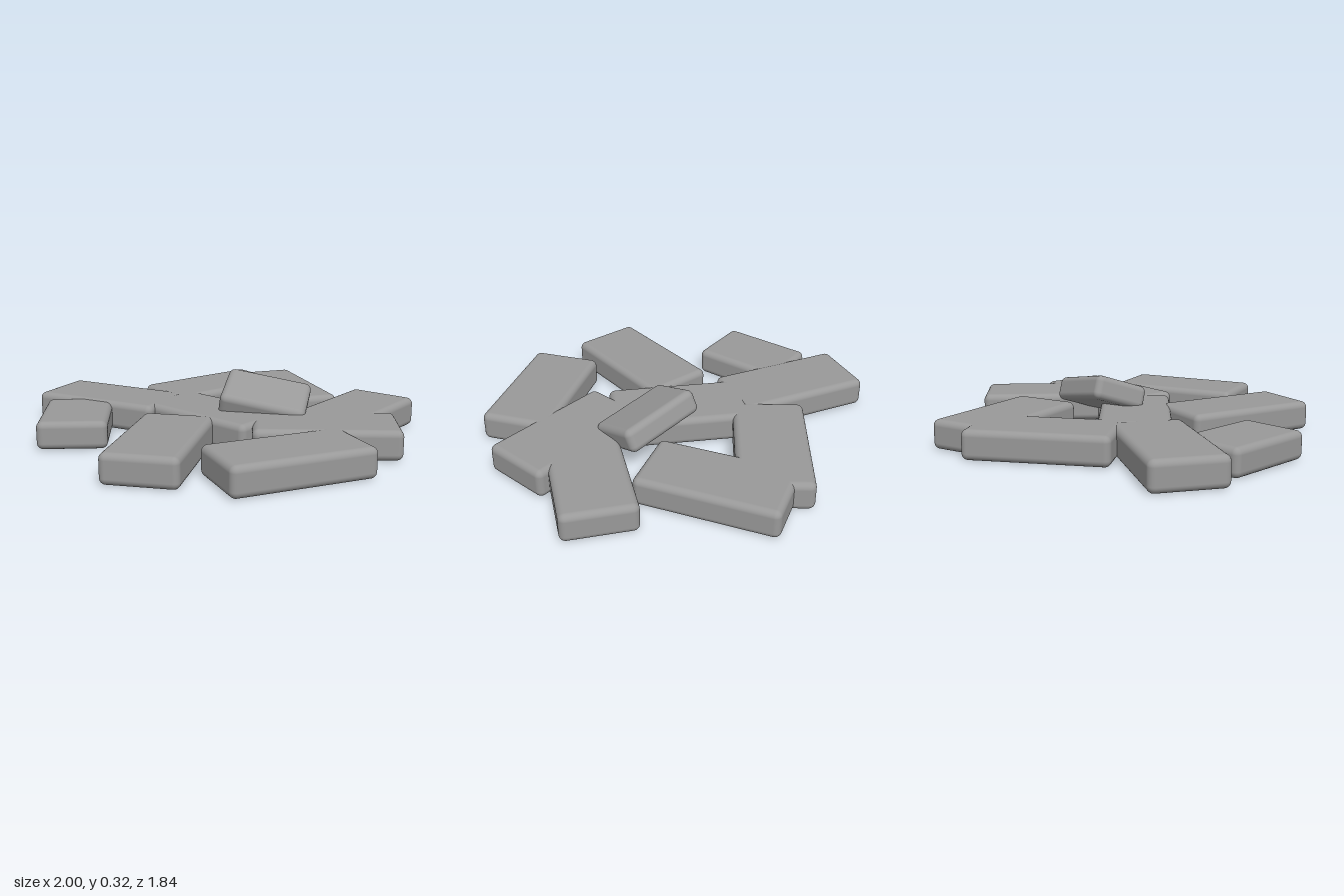
import * as THREE from 'three';
import { RoundedBoxGeometry } from 'three/addons/geometries/RoundedBoxGeometry.js';

const HEIGHT = 0.15;
const RADIUS = 0.033;

// Flat-lying bricks: centre x, centre z, heading in degrees (from +x towards +z), length, width
const BRICKS = [
  ['leftBrick', -0.475, -0.3, 90, 0.72, 0.37],
  ['backLeftBrick', -0.2, -0.58, 20, 0.72, 0.37],
  ['backRightBrick', 0.41, -0.525, 75.5, 0.72, 0.37],
  ['innerRightBrick', 0.54, -0.21, 130, 0.72, 0.37],
  ['rightBrick', 0.735, 0.205, 105, 0.72, 0.37],
  ['frontBrick', 0.22, 0.55, 50, 0.72, 0.37],
  ['middleBrick', -0.01, 0.055, -10, 0.71, 0.37],
  ['outerLeftBrick', -0.61, 0.31, -25, 0.72, 0.37],
  ['frontHalfBrick', -0.425, 0.635, 35, 0.5, 0.35, 0.142],
];

export function createModel() {
  const group = new THREE.Group();
  group.name = 'brickPile';
  const stone = new THREE.MeshStandardMaterial({ color: 0x999999 });
  stone.name = 'grey stone';

  const addBrick = (name, length, height, width) => {
    const mesh = new THREE.Mesh(new RoundedBoxGeometry(length, height, width, 4, RADIUS), stone);
    mesh.name = name;
    group.add(mesh);
    return mesh;
  };

  // Bricks lying on the ground
  for (const [name, x, z, heading, length, width, height = HEIGHT] of BRICKS) {
    const brick = addBrick(name, length, height, width);
    brick.position.set(x, height / 2, z);
    brick.rotation.y = -THREE.MathUtils.degToRad(heading);
  }

  // Broken piece leaning on top of the pile
  const top = addBrick('tiltedTopPiece', 0.44, 0.125, 0.3);
  const along = new THREE.Vector3(0.29, -0.07, -0.27).normalize();
  const across = new THREE.Vector3(0.16, -0.085, 0.2);
  const up = across.clone().cross(along).normalize();
  across.crossVectors(along, up);
  top.quaternion.setFromRotationMatrix(new THREE.Matrix4().makeBasis(along, up, across));
  top.position.set(0.145, 0.188, -0.16);

  return group;
}
